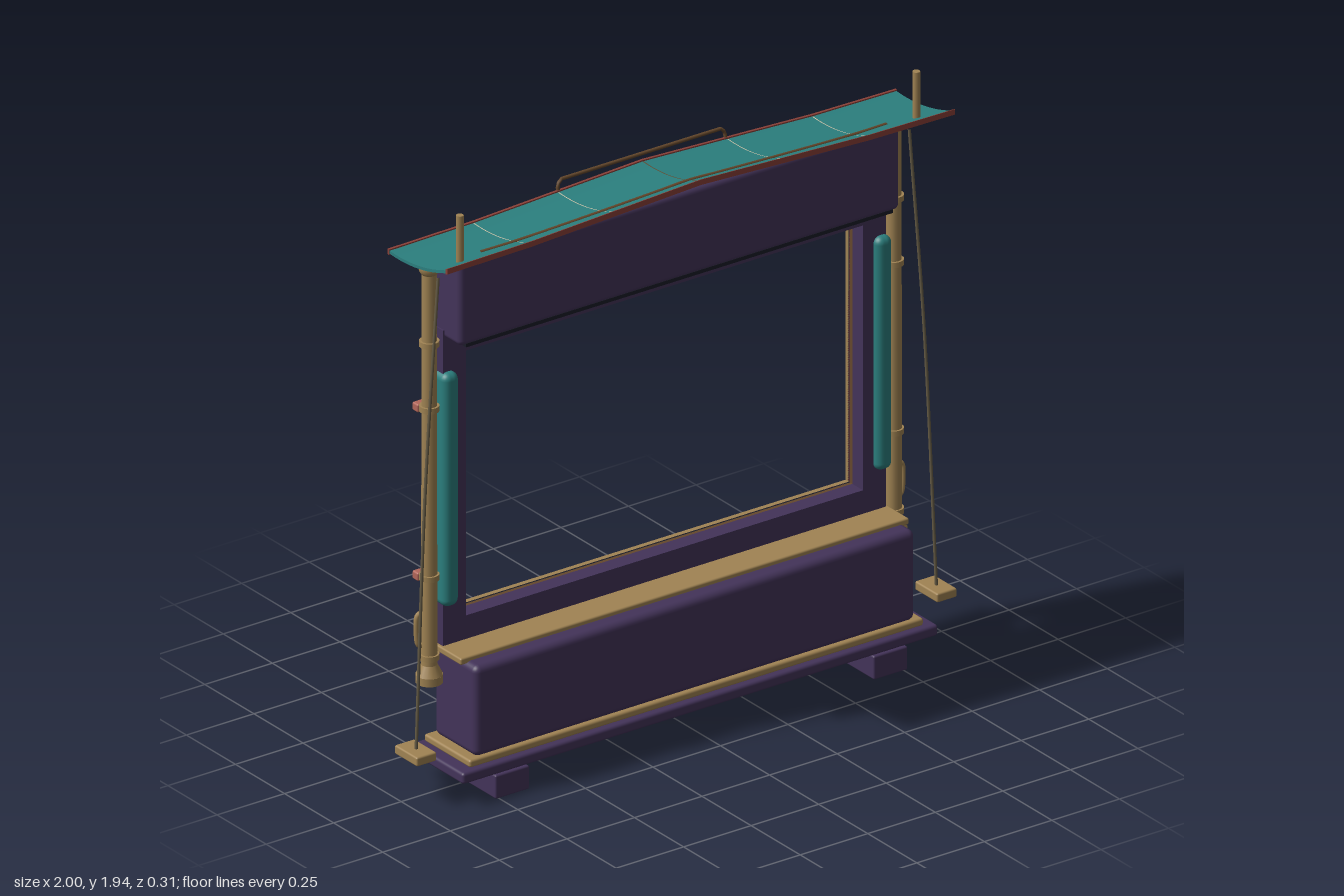
import * as THREE from 'three';
import { RoundedBoxGeometry } from 'three/addons/geometries/RoundedBoxGeometry.js';

export function createModel() {
  const root = new THREE.Group();
  root.name = 'expeditionFrame';
  const mat = (name, color) => Object.assign(new THREE.MeshStandardMaterial({ color }), { name });
  const purple = mat('purple', 0x433359), tan = mat('tan', 0xa08353), teal = mat('teal', 0x2b7f7e),
    red = mat('brickRed', 0x8a4038), salmon = mat('salmon', 0xb2665a), navy = mat('navy', 0x1a1c27),
    brown = mat('brown', 0x65482c), cream = mat('cream', 0xd2c6aa), rope = mat('rope', 0x665c46);

  const add = (name, geo, m, x = 0, y = 0, z = 0, parent = root) => {
    const mesh = new THREE.Mesh(geo, m);
    mesh.name = name;
    mesh.position.set(x, y, z);
    parent.add(mesh);
    return mesh;
  };
  // Boxes are given by their limits; r > 0 rounds the edges
  const box = (name, m, x0, x1, y0, y1, z0, z1, r = 0) => {
    const s = [x1 - x0, y1 - y0, z1 - z0];
    return add(name, r ? new RoundedBoxGeometry(...s, 3, r) : new THREE.BoxGeometry(...s), m,
      (x0 + x1) / 2, (y0 + y1) / 2, (z0 + z1) / 2);
  };
  const tube = (name, m, pts, r, closed = false, tension = 0.5) => add(name, new THREE.TubeGeometry(
    new THREE.CatmullRomCurve3(pts.map(p => new THREE.Vector3(...p)), closed, 'catmullrom', tension),
    48, r, 8, closed), m);
  // Rectangle path with corner radius r
  const rectPath = (P, [x0, x1, y0, y1], r = 0) => {
    const p = new P(), q = Math.PI / 2;
    p.absarc(x1 - r, y1 - r, r, 0, q);
    p.absarc(x0 + r, y1 - r, r, q, 2 * q);
    p.absarc(x0 + r, y0 + r, r, 2 * q, 3 * q);
    p.absarc(x1 - r, y0 + r, r, 3 * q, 4 * q);
    p.closePath();
    return p;
  };
  const extrude = (name, m, shape, z0, z1) => add(name,
    new THREE.ExtrudeGeometry(shape, { depth: z1 - z0, bevelEnabled: false, curveSegments: 5 }), m, 0, 0, z0);
  // Rectangular ring: outer limits, inner limits, z range
  const ring = (name, m, outer, inner, z0, z1, r = 0) => {
    const s = rectPath(THREE.Shape, outer, r);
    s.holes.push(rectPath(THREE.Path, inner, r));
    extrude(name, m, s, z0, z1);
  };

  // Base and cabinet
  for (const s of [-1, 1]) box('foot', purple, s * 0.7 - 0.063, s * 0.7 + 0.063, 0, 0.078, -0.03, 0.155, 0.006);
  box('baseSlab', purple, -0.88, 0.88, 0.078, 0.115, -0.12, 0.15, 0.01);
  box('baseTrim', tan, -0.84, 0.84, 0.115, 0.14, -0.105, 0.13, 0.008);
  box('lowerCabinet', purple, -0.815, 0.815, 0.138, 0.438, -0.09, 0.125, 0.022);
  box('ledge', tan, -0.83, 0.83, 0.43, 0.452, -0.135, 0.07, 0.006);
  box('ledgeEdge', brown, -0.8, 0.8, 0.412, 0.43, -0.12, -0.08);
  box('cabinetPiping', brown, -0.79, 0.79, 0.158, 0.165, -0.095, -0.085);

  // Window frame and its stepped mouldings
  const hole = [-0.735, 0.735, 0.53, 1.41];
  ring('windowFrame', purple, [-0.82, 0.82, 0.45, 1.5], hole, -0.09, -0.035);
  ring('darkMoulding', brown, [-0.8, 0.8, 0.468, 1.47], hole, -0.102, -0.09);
  ring('outerMoulding', tan, [-0.805, 0.805, 0.462, 1.475], [-0.794, 0.794, 0.474, 1.464], -0.11, -0.088);
  ring('middleMoulding', navy, [-0.783, 0.783, 0.485, 1.453], hole, -0.108, -0.1);
  ring('redMoulding', red, [-0.771, 0.771, 0.495, 1.444], hole, -0.113, -0.105);
  ring('innerMoulding', tan, [-0.762, 0.762, 0.503, 1.437], hole, -0.125, -0.105);

  // Header box
  box('headerBox', purple, -0.815, 0.815, 1.472, 1.755, -0.088, 0.045, 0.018);
  box('headerShadowStrip', navy, -0.79, 0.79, 1.466, 1.478, -0.06, 0.042);

  // Dark display panels with rounded tan rims
  const panel = (x0, x1, y0, y1, z) => {
    const rim = 0.012;
    extrude('panelBacking', navy, rectPath(THREE.Shape, [x0, x1, y0, y1], 0.022), z + 0.006, -0.085);
    ring('panelRim', tan, [x0, x1, y0, y1], [x0 + rim, x1 - rim, y0 + rim, y1 - rim], z, -0.085, 0.022);
  };
  for (const s of [-1, 1]) {
    panel(s * 0.545 - 0.182, s * 0.545 + 0.182, 1.585, 1.735, -0.125);
    panel(s * 0.173 - 0.172, s * 0.173 + 0.172, 1.602, 1.745, -0.138);
  }
  panel(-0.345, 0.345, 1.435, 1.6, -0.142);
  tube('rearRail', brown, [[-0.31, 1.74, -0.146], [-0.31, 1.795, -0.154], [-0.295, 1.81, -0.154], [0.295, 1.81, -0.154],
    [0.31, 1.795, -0.154], [0.31, 1.74, -0.146]], 0.006, false, 0);

  // Posts, pads, ropes and fittings on both sides
  for (const s of [-1, 1]) {
    const x = s * 0.86, z = -0.05;
    add('post', new THREE.CylinderGeometry(0.023, 0.025, 1.37, 16), tan, x, 1.065, z);
    add('postFoot', new THREE.CylinderGeometry(0.025, 0.042, 0.035, 16), tan, x, 0.382, z);
    add('postFootBase', new THREE.CylinderGeometry(0.042, 0.042, 0.026, 16), tan, x, 0.353, z);
    add('postCap', new THREE.SphereGeometry(0.033, 16, 10), tan, x, 1.718, z);
    for (const y of [0.425, 0.69, 1.25, 1.465])
      add('postCollar', new THREE.CylinderGeometry(0.031, 0.031, 0.018, 16), tan, x, y, z);
    for (const y of [0.685, 1.245]) {
      const c = s * 0.838;
      box('clamp', salmon, c - 0.05, c + 0.05, y - 0.014, y + 0.014, -0.1, -0.07, 0.006);
      box('clampTip', salmon, s * 0.79 - 0.01, s * 0.79 + 0.01, y - 0.024, y + 0.024, -0.116, -0.085, 0.005);
    }
    box('sidePad', teal, s * 0.802 - 0.029, s * 0.802 + 0.029, 0.585, 1.36, -0.085, -0.008, 0.024);
    tube('guyRope', rope, [[s * 0.872, 1.71, 0.012], [s * 0.925, 1.0, 0.018], [s * 0.963, 0.17, 0.025]], 0.005);
    box('ropeWeight', tan, s * 0.963 - 0.037, s * 0.963 + 0.037, 0.145, 0.175, -0.035, 0.08, 0.006);
    tube('carabiner', tan, [[s * 0.875, 0.47, -0.06], [s * 0.897, 0.475, -0.06], [s * 0.9, 0.555, -0.06],
      [s * 0.882, 0.57, -0.06], [s * 0.872, 0.55, -0.06]], 0.008, true);
    add('roofPole', new THREE.CylinderGeometry(0.012, 0.012, 0.17, 12), tan, s * 0.845, 1.853, 0.085);
    // Cabinet straps with buckles
    box('strap', salmon, s * 0.67 - 0.018, s * 0.67 + 0.018, 0.15, 0.415, -0.099, -0.085);
    box('buckle', tan, s * 0.67 - 0.024, s * 0.67 + 0.024, 0.325, 0.345, -0.105, -0.085, 0.004);
  }

  // Swept roof in six panels with pale seams
  const step = 0.94 / 3, rise = [0.032, 0.018, 0.004, 0];
  const roofY = (x, z) => {
    const t = Math.min(Math.abs(x) / step, 2.9999), i = Math.floor(t);
    return 1.75 + 0.82 * (z + 0.1) ** 2 + THREE.MathUtils.lerp(rise[i], rise[i + 1], t - i);
  };
  const roofPiece = (name, m, x, z, w, h, d, segs) => {
    const g = new THREE.BoxGeometry(w, h, d, 1, 1, segs).translate(x, 0, z), p = g.attributes.position;
    for (let i = 0; i < p.count; i++) p.setY(i, p.getY(i) + roofY(p.getX(i), p.getZ(i)));
    g.computeVertexNormals();
    add(name, g, m);
  };
  for (let i = 0; i < 6; i++) {
    const x = (i - 2.5) * step;
    roofPiece('roofPanel', teal, x, 0, step - 0.004, 0.01, 0.29, 12);
    for (const z of [-0.148, 0.148]) roofPiece('roofTrim', red, x, z, step, 0.018, 0.008, 1);
    if (i) roofPiece('roofSeam', i === 3 ? brown : cream, x - step / 2, 0, 0.005, 0.009, 0.288, 12);
  }
  const line = [];
  for (let i = -8; i <= 8; i++) {
    const x = i * 0.094, z = 0.09 - 0.03 * (i / 8) ** 2;
    line.push([x, roofY(x, z) + 0.005, z]);
  }
  tube('roofCord', brown, line, 0.006);

  // Folded map: flat strips bent into an accordion of four leaves
  const mapPiece = (name, m, y, h, z, d, wave) => {
    const g = new THREE.BoxGeometry(0.37, h, d, 4, 1, 1), p = g.attributes.position;
    for (let i = 0; i < p.count; i++) {
      const k = Math.round((p.getX(i) + 0.185) / 0.0925), odd = k % 2;
      p.setZ(i, p.getZ(i) + (odd ? -0.035 : 0));
      p.setY(i, p.getY(i) + (odd ? 0.008 : -0.008) + wave * Math.sin(k * 1.9));
    }
    g.computeVertexNormals();
    add(name, g, m, 0.4, y, z);
  };
  mapPiece('map', cream, 0.295, 0.205, -0.105, 0.006, 0);
  mapPiece('mapRoute', teal, 0.33, 0.007, -0.109, 0.005, 0.016);
  mapPiece('mapRiver', teal, 0.25, 0.007, -0.109, 0.005, 0.016);
  mapPiece('mapTrail', salmon, 0.292, 0.005, -0.109, 0.005, 0.01);
  for (const x of [0.235, 0.565]) box('mapClip', tan, x - 0.013, x + 0.013, 0.38, 0.412, -0.125, -0.085, 0.004);

  // Mountain outline
  tube('mountainOutline', tan, [[0.125, 0.19, -0.095], [0.035, 0.28, -0.095], [0, 0.24, -0.095],
    [-0.05, 0.285, -0.095], [-0.135, 0.19, -0.095]], 0.006, false, 0);

  // Compass: drum, bezel, dial rings and alternating rays
  const compass = new THREE.Group();
  compass.name = 'compass';
  compass.position.set(-0.402, 0.285, -0.09);
  root.add(compass);
  add('compassDrum', new THREE.CylinderGeometry(0.128, 0.128, 0.035, 32).rotateX(Math.PI / 2), navy, 0, 0, -0.015, compass);
  for (const [r, t, m] of [[0.128, 0.008, brown], [0.108, 0.005, tan], [0.068, 0.006, brown], [0.034, 0.006, tan]])
    add('compassRing', new THREE.TorusGeometry(r, t, 8, 32), m, 0, 0, -0.034, compass);
  for (let i = 0; i < 12; i++) {
    const ray = add('compassRay', new THREE.ConeGeometry(0.011, i % 3 ? 0.05 : 0.08, 4).translate(0, 0.068, 0),
      [salmon, tan, brown][i % 3], 0, 0, -0.035, compass);
    ray.rotation.z = i * Math.PI / 6;
  }
  add('compassHub', new THREE.SphereGeometry(0.016, 12, 8), salmon, 0, 0, -0.036, compass);
  tube('compassBracket', tan, [[-0.39, 0.152, -0.125], [-0.545, 0.152, -0.125], [-0.545, 0.29, -0.125]], 0.006, false, 0);
  return root;
}
